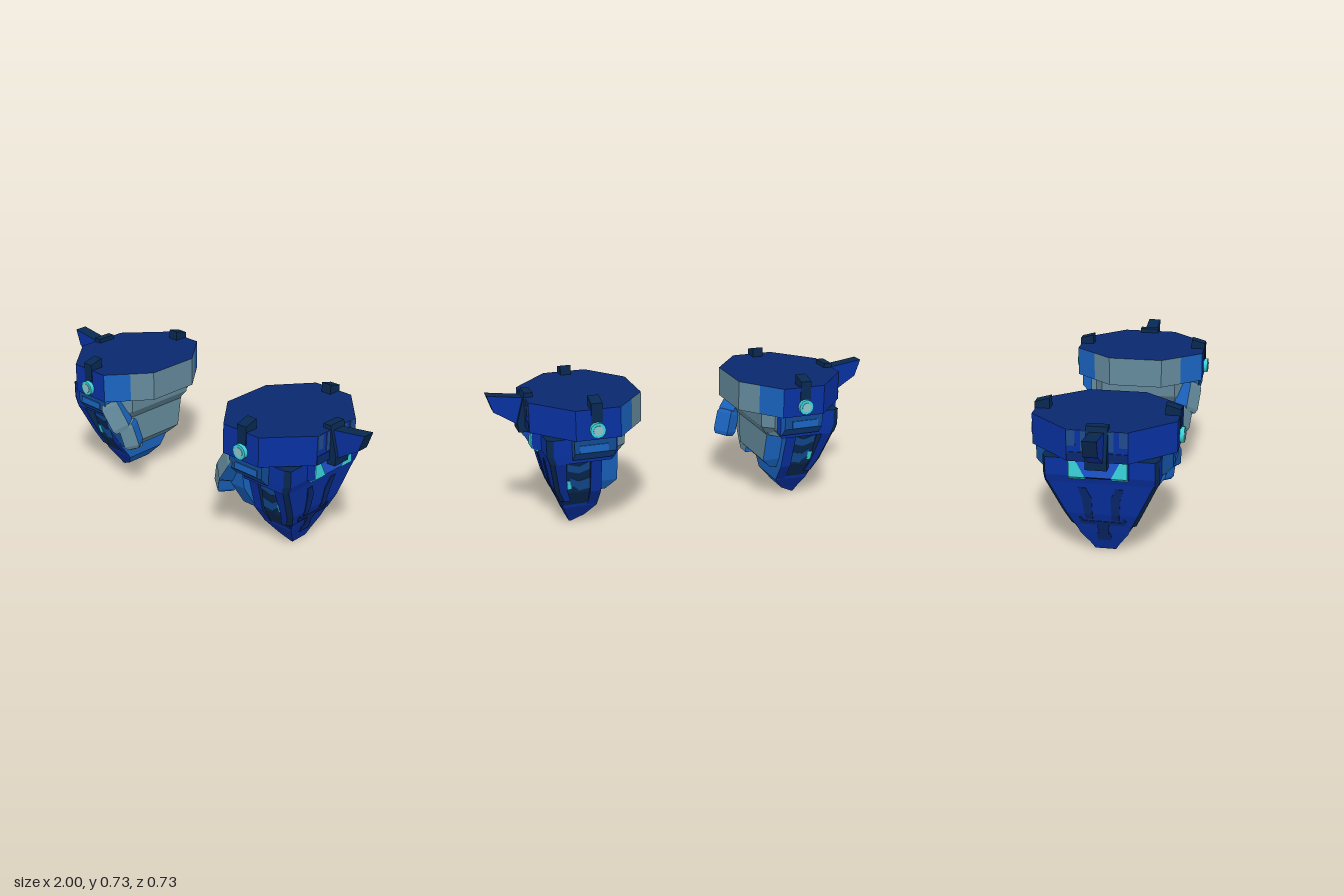
import * as THREE from 'three';

const mat = (name, color) => {
  const m = new THREE.MeshStandardMaterial({ color });
  m.name = name;
  return m;
};

export function createModel() {
  const navy = mat('navy blue', 0x0830a0);
  const deep = mat('deep blue', 0x08286e);
  const dark = mat('dark blue', 0x082850);
  const mid = mat('medium blue', 0x1a64c0);
  const steel = mat('steel blue', 0x124a92);
  const bright = mat('bright blue', 0x1c55d2);
  const grey = mat('blue grey', 0x648a9c);
  const cyan = mat('cyan', 0x38d4da);
  const pale = mat('pale lens', 0x8fc4cc);
  const slate = mat('slate blue', 0x204a8c);

  const hand = new THREE.Group();
  const add = (name, geometry, material) => {
    const m = new THREE.Mesh(geometry, material);
    m.name = name;
    hand.add(m);
    return m;
  };

  // Joins rings of points into a closed flat-shaded solid; side k is group k, the end caps are the last two groups
  const loft = (rings) => {
    const n = rings[0].length, tris = [], groups = [];
    const group = (list) => { groups.push([tris.length * 3, list.length * 3]); tris.push(...list); };
    for (let k = 0; k < n; k++) {
      const side = [], j = (k + 1) % n;
      for (let i = 0; i + 1 < rings.length; i++) {
        const a = rings[i], b = rings[i + 1];
        side.push([a[k], b[k], b[j]], [a[k], b[j], a[j]]);
      }
      group(side);
    }
    const last = rings[rings.length - 1], capA = [], capB = [];
    for (let k = 1; k + 1 < n; k++) {
      capA.push([rings[0][0], rings[0][k], rings[0][k + 1]]);
      capB.push([last[0], last[k + 1], last[k]]);
    }
    group(capA);
    group(capB);
    // Turn the solid outward whatever the order of its points
    const v = tris.map((t) => t.map((p) => new THREE.Vector3(...p)));
    const o = v[0][0].clone();
    const volume = v.reduce((s, [a, b, c]) =>
      s + a.clone().sub(o).dot(b.clone().sub(o).cross(c.clone().sub(o))), 0);
    if (volume < 0) v.forEach((t) => t.reverse());
    const g = new THREE.BufferGeometry().setFromPoints(v.flat());
    groups.forEach(([start, count], i) => g.addGroup(start, count, i));
    g.computeVertexNormals();
    return g;
  };
  const prismY = (pts, y0, y1) => loft([y1, y0].map((y) => pts.map(([x, z]) => [x, y, z])));
  const prismZ = (pts, z0, z1) => loft([z0, z1].map((z) => pts.map(([x, y]) => [x, y, z])));
  // Rows of [y, inner x, outer x, half depth]; sides are front, outer, back, inner, top, bottom
  const taper = (rows) => loft(rows.map(([y, a, b, z]) => [[a, y, z], [b, y, z], [b, y, -z], [a, y, -z]]));
  // The same with both outer corners cut: front, front corner, outer, back corner, back, inner, top, bottom
  const cutTaper = (rows, cx, cz) => loft(rows.map(([y, a, b, z]) => [[a, y, z], [b - cx, y, z], [b, y, z - cz],
    [b, y, cz - z], [b - cx, y, -z], [a, y, -z]]));
  const solid = (m, n = 6) => Array(n).fill(m);

  // Wrist cuff, with the chamfers split where the colour changes
  add('wristCuff', prismY([
    [0.26, 0.14], [0.335, 0.234], [0.42, 0.34], [0.64, 0.34], [0.82, 0.14],
    [0.82, -0.14], [0.64, -0.34], [0.42, -0.34], [0.335, -0.234], [0.26, -0.14],
  ], 0.525, 0.675), [grey, mid, navy, navy, navy, navy, navy, mid, grey, grey, deep, dark]);

  // Fin and its bracket
  add('finBracket', prismZ([[0.78, 0.5], [0.855, 0.5], [0.86, 0.55], [0.82, 0.697], [0.78, 0.697]], -0.05, 0.05),
    solid(dark, 7));
  add('fin', prismZ([[0.82, 0.53], [0.86, 0.54], [0.97, 0.61], [1, 0.695], [0.82, 0.67]], -0.033, 0.033),
    [navy, navy, dark, dark, navy, navy, navy]);

  // Parts repeated on the front and back of the hand
  for (const s of [1, -1]) {
    add('cuffClip', loft([0.51, 0.565].map((x) =>
      [[x, 0.61, s * 0.27], [x, 0.61, s * 0.344], [x, 0.705, s * 0.344], [x, 0.725, s * 0.273]])), solid(dark));
    for (const [name, r, end, m] of [['lampRim', 0.038, 0.361, cyan], ['lampLens', 0.024, 0.364, pale]]) {
      const lamp = add(name, new THREE.CylinderGeometry(r, r, 0.04, 12), m);
      lamp.rotation.x = Math.PI / 2;
      lamp.position.set(0.537, 0.575, s * (end - 0.02));
    }
    const patch = (z0, z1, y0, y1, m) => add('cuffPatch', loft([0.819, 0.823].map((x) =>
      [[x, y0, s * z0], [x, y1, s * z0], [x, y1, s * z1], [x, y0, s * z1]])), solid(m));
    patch(0.1, 0.14, 0.6, 0.674, slate);
    patch(0.05, 0.075, 0.58, 0.674, slate);
    patch(0.05, 0.14, 0.526, 0.57, deep);

    // Sloping guard under the cuff, with a lighter panel
    add('sideGuard', loft([0.44, 0.645].map((x) =>
      [[x, 0.524, s * 0.24], [x, 0.524, s * 0.322], [x, 0.455, s * 0.322], [x, 0.41, s * 0.28], [x, 0.41, s * 0.24]])),
      [steel, steel, steel, steel, steel, mid, steel]);
    add('guardPanel', loft([s * 0.32, s * 0.327].map((z) =>
      [[0.48, 0.46, z], [0.62, 0.46, z], [0.62, 0.495, z], [0.48, 0.495, z]])), solid(mid));

    // Painted bands and a light in the recess between the finger shells
    const recess = (name, pts, m) => add(name, loft([-0.002, 0.004].map((d) =>
      pts.map(([x, y]) => [x, y, s * (0.17 + (y - 0.2) * 0.237 + d)]))), solid(m, pts.length + 2));
    recess('recessBand', [[0.54, 0.375], [0.6, 0.35], [0.6, 0.31], [0.54, 0.33]], steel);
    recess('recessBand', [[0.6, 0.35], [0.66, 0.37], [0.66, 0.33], [0.6, 0.31]], steel);
    recess('recessBand', [[0.54, 0.28], [0.6, 0.265], [0.6, 0.21], [0.54, 0.22]], steel);
    recess('recessBand', [[0.6, 0.265], [0.64, 0.29], [0.64, 0.25], [0.6, 0.22]], steel);
    recess('recessLight', [[0.635, 0.225], [0.662, 0.225], [0.662, 0.27], [0.635, 0.27]], cyan);
  }

  // Back-of-hand block and its framed outer panel
  add('knuckleBlock', cutTaper([[0.515, 0.42, 0.765, 0.27], [0.43, 0.42, 0.765, 0.27], [0.39, 0.45, 0.75, 0.268]],
    0.03, 0.016), [navy, dark, navy, dark, navy, grey, dark, dark]);
  add('wristCore', taper([[0.53, 0.4, 0.72, 0.22], [0.5, 0.4, 0.72, 0.22]]), solid(dark));
  add('panelMount', prismZ([[0.74, 0.524], [0.81, 0.524], [0.81, 0.445], [0.78, 0.427], [0.74, 0.427]], -0.135, 0.135),
    [dark, bright, dark, dark, dark, navy, navy]);
  for (const s of [1, -1]) {
    add('panelFrame', loft([0.809, 0.814].map((x) =>
      [[x, 0.445, s * 0.06], [x, 0.46, s * 0.085], [x, 0.523, s * 0.1], [x, 0.523, s * 0.135], [x, 0.445, s * 0.135]])),
      solid(cyan, 7));
    add('panelFrameFoot', loft([0, 0.004].map((d) => [[0.81 + d, 0.445, s * 0.06], [0.81 + d, 0.445, s * 0.135],
      [0.78 + d, 0.427 - d, s * 0.135], [0.78 + d, 0.427 - d, s * 0.06]])), solid(cyan));
  }

  // Heel of the hand, palm and the mount that carries the thumb
  const heel = (y, x, z) => [[x, y, z], [0.45, y, z + 0.065], [0.45, y, -z - 0.065], [x, y, -z]];
  add('palmHeel', loft([heel(0.53, 0.36, 0.2), heel(0.44, 0.365, 0.2), heel(0.39, 0.4, 0.18)]),
    [grey, grey, grey, grey, dark, grey]);
  add('palm', taper([[0.44, 0.4, 0.52, 0.2], [0.24, 0.395, 0.52, 0.16], [0.185, 0.45, 0.52, 0.13]]),
    [mid, mid, mid, grey, grey, grey]);
  add('thumbMount', loft([0.405, 0.49].map((x) => [[x, 0.44, 0.1], [x, 0.44, 0.285], [x, 0.33, 0.265],
    [x, 0.24, 0.205], [x, 0.195, 0.175], [x, 0.195, 0.1]])), [mid, mid, mid, mid, mid, mid, grey, mid]);

  // Closed fingers: recessed core, inner lip, outer shell and tips
  add('fingerCore', taper([[0.4, 0.5, 0.72, 0.217], [0.2, 0.49, 0.69, 0.17], [0.12, 0.5, 0.665, 0.125]]),
    [dark, navy, dark, mid, dark, dark]);
  add('fingerLip', taper([[0.4, 0.49, 0.545, 0.24], [0.2, 0.485, 0.54, 0.185], [0.1, 0.49, 0.54, 0.113]]),
    [navy, dark, navy, mid, mid, mid]);
  add('fingerShell', cutTaper([[0.39, 0.675, 0.75, 0.265], [0.22, 0.655, 0.715, 0.187], [0.15, 0.635, 0.686, 0.155]],
    0.02, 0.02), [navy, dark, navy, dark, navy, dark, navy, dark]);
  add('fingertips', taper([[0.17, 0.49, 0.69, 0.14], [0.1, 0.49, 0.663, 0.115], [0.035, 0.545, 0.636, 0.07],
    [0, 0.612, 0.622, 0.05]]), [navy, navy, navy, mid, navy, navy]);

  // Dark finger grooves painted on the outer shell
  const shellX = (y) => (y > 0.22 ? 0.715 + (y - 0.22) * 0.206
    : y > 0.15 ? 0.686 + (y - 0.15) * 0.414 : y > 0.1 ? 0.663 + (y - 0.1) * 0.46 : 0.622 + y * 0.41);
  const groove = (y0, a0, b0, y1, a1, b1) => add('fingerGroove', loft([-0.002, 0.004].map((d) =>
    [[a0, y0], [b0, y0], [b1, y1], [a1, y1]].map(([z, y]) => [shellX(y) + d, y, z]))), solid(deep));
  for (const s of [1, -1]) {
    groove(0.19, s * 0.045, s * 0.08, 0.22, s * 0.045, s * 0.082);
    groove(0.22, s * 0.045, s * 0.082, 0.31, s * 0.045, s * 0.09);
    groove(0.31, s * 0.045, s * 0.09, 0.365, s * 0.07, s * 0.105);
    groove(0.178, s * 0.09, s * 0.11, 0.198, s * 0.1, s * 0.11);
  }
  groove(0.16, -0.1, 0.1, 0.178, -0.11, 0.11);
  groove(0.1, -0.022, 0.022, 0.16, -0.03, 0.03);
  groove(0.058, -0.033, 0.033, 0.1, -0.033, 0.033);

  // Thumb: two chamfered segments slanting inward, turned to face the palm side
  const turn = new THREE.Quaternion().setFromAxisAngle(new THREE.Vector3(0, 1, 0), -0.6);
  const segment = (name, from, to, w, d) => {
    const a = new THREE.Vector3(...from), b = new THREE.Vector3(...to);
    const h = a.distanceTo(b) / 2;
    const ring = (y, k) => [[-w * k, y, d * k], [w * k, y, d * k], [w * k, y, -d * k], [-w * k, y, -d * k]];
    const m = add(name, loft([ring(h, 0.85), ring(h - 0.02, 1), ring(0.02 - h, 1), ring(-h, 0.8)]),
      [grey, mid, mid, mid, grey, mid]);
    m.position.copy(a).lerp(b, 0.5);
    m.quaternion.setFromUnitVectors(new THREE.Vector3(0, 1, 0), a.clone().sub(b).normalize()).multiply(turn);
  };
  segment('thumbBase', [0.45, 0.495, 0.275], [0.36, 0.36, 0.26], 0.048, 0.045);
  segment('thumbTip', [0.36, 0.4, 0.245], [0.325, 0.265, 0.225], 0.04, 0.045);

  // The other hand is a mirrored copy with its triangles turned round
  const model = new THREE.Group();
  model.name = 'gauntlets';
  hand.name = 'leftHand';
  const other = new THREE.Group();
  other.name = 'rightHand';
  for (const part of hand.children) {
    part.updateMatrix();
    const g = (part.geometry.index ? part.geometry.toNonIndexed() : part.geometry.clone())
      .applyMatrix4(part.matrix);
    for (const key of ['position', 'normal']) {
      const at = g.attributes[key], p = new THREE.Vector3(), q = new THREE.Vector3();
      for (let i = 0; i < at.count; i += 3) {
        p.fromBufferAttribute(at, i);
        q.fromBufferAttribute(at, i + 2);
        at.setXYZ(i, -q.x, q.y, q.z);
        at.setX(i + 1, -at.getX(i + 1));
        at.setXYZ(i + 2, -p.x, p.y, p.z);
      }
    }
    const copy = new THREE.Mesh(g, part.material);
    copy.name = part.name;
    other.add(copy);
  }
  model.add(hand, other);
  return model;
}
